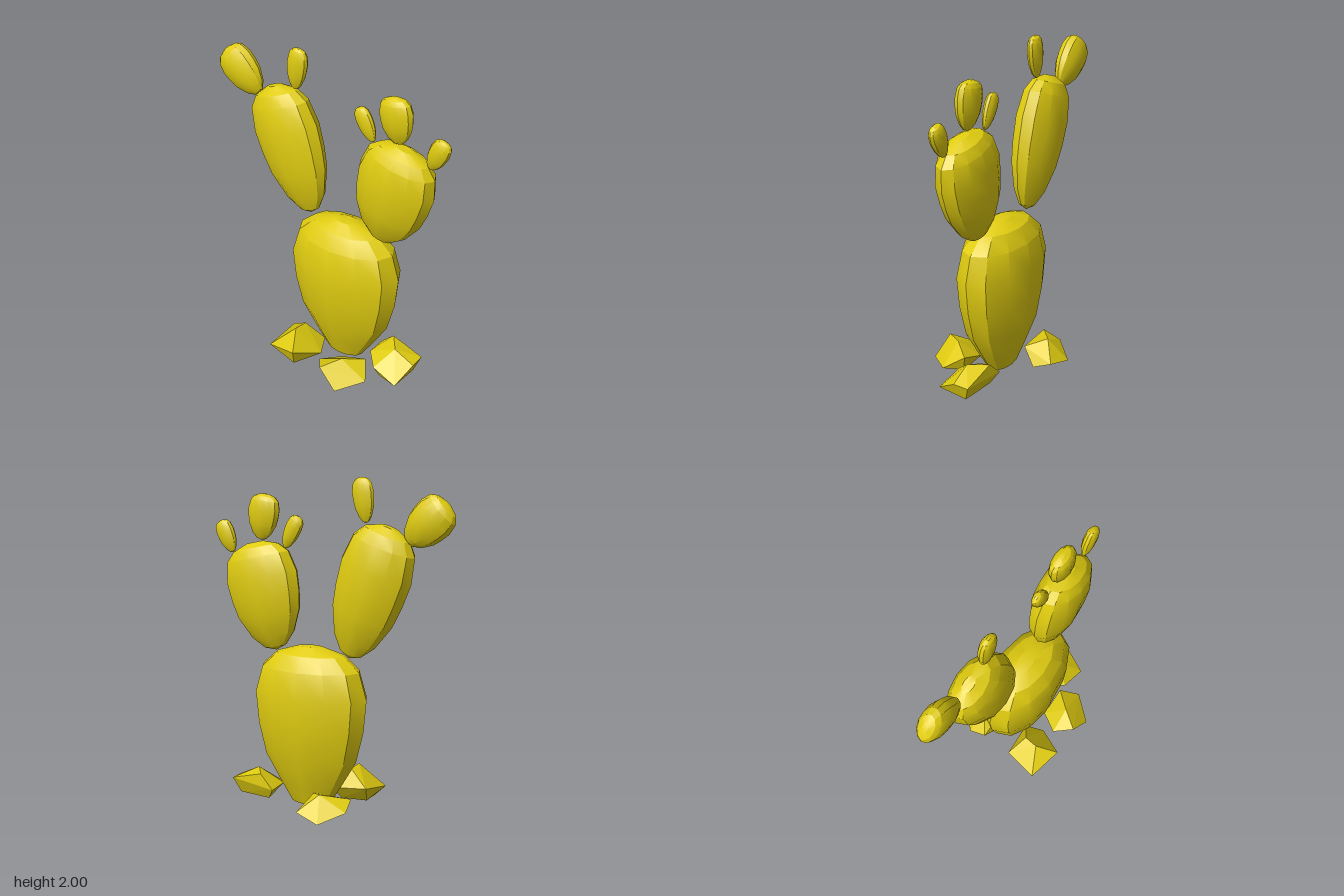
import * as THREE from 'three';
import { toCreasedNormals } from 'three/addons/utils/BufferGeometryUtils.js';
import { ConvexGeometry } from 'three/addons/geometries/ConvexGeometry.js';

// pad outline as [radius, height], both relative
const PAD = [[0, 0], [0.3, 0.035], [0.6, 0.145], [0.87, 0.34], [0.96, 0.5], [1, 0.68], [0.88, 0.865], [0.64, 0.95], [0.23, 1], [0, 1]];
const TRUNK = [[0, 0], [0.34, 0], [0.54, 0.12], [0.82, 0.3], [0.95, 0.5], [1, 0.7], [0.87, 0.865], [0.6, 0.955], [0.22, 1], [0, 1]];

// flattened twelve-sided lathe standing on its lower tip
function padGeometry(profile, halfDepth, halfWidth, height) {
  const points = profile.map(([r, y]) => new THREE.Vector2(r, y));
  const geometry = new THREE.LatheGeometry(points, 12);
  geometry.scale(halfWidth, height, halfDepth);
  return toCreasedNormals(geometry, 0.45);
}

export function createModel() {
  const group = new THREE.Group();
  const material = new THREE.MeshStandardMaterial({ color: 0xe0cc10 });

  function add(name, geometry) {
    const mesh = new THREE.Mesh(geometry, material);
    mesh.name = name;
    group.add(mesh);
    return mesh;
  }

  // trunk, two large pads and five small buds: y, z, tilt, half depth, half width, height
  const pads = [
    ['trunk', 0, 0.12, 0, 0.38, 0.205, 0.985],
    ['frontPad', 0.94, 0.36, 0.22, 0.25, 0.133, 0.67],
    ['backPad', 0.94, -0.14, -0.32, 0.232, 0.13, 0.825],
    ['frontOuterBud', 1.525, 0.665, 0.42, 0.062, 0.036, 0.21],
    ['frontMiddleBud', 1.61, 0.46, -0.12, 0.107, 0.056, 0.28],
    ['frontInnerBud', 1.57, 0.295, -0.47, 0.055, 0.032, 0.215],
    ['backInnerBud', 1.74, -0.25, 0.13, 0.069, 0.037, 0.262],
    ['backOuterBud', 1.64, -0.51, -0.83, 0.128, 0.074, 0.33],
  ];
  for (const [name, y, z, tilt, depth, width, height] of pads) {
    const profile = name === 'trunk' ? TRUNK : PAD;
    const mesh = add(name, padGeometry(profile, depth, width, height));
    mesh.position.set(0.022, y, z);
    mesh.rotation.x = tilt;
  }

  // faceted rocks around the foot, each the hull of a few corners
  const rocks = {
    backRightRock: [
      [-0.30, 0.06, -0.24], [-0.35, 0.13, -0.02], [-0.17, 0.05, 0.07], [-0.06, 0.08, 0.02],
      [-0.08, 0.10, -0.21], [-0.22, 0.21, -0.09], [-0.13, 0.20, -0.08],
      [-0.30, 0, -0.05], [-0.12, 0, -0.02], [-0.15, 0, -0.18], [-0.27, 0, -0.18]],
    backLeftRock: [
      [0.23, 0.05, -0.23], [0.36, 0, -0.11], [0.33, 0.04, 0.05], [0.22, 0, 0.08],
      [0.24, 0.14, -0.06], [0.13, 0.10, 0.04], [0.12, 0.10, -0.21], [0.10, 0, -0.10]],
    frontRightRock: [
      [-0.23, 0.06, 0.10], [-0.34, 0.11, 0.18], [-0.365, 0, 0.31], [-0.21, 0.03, 0.435],
      [-0.10, 0.10, 0.36], [-0.10, 0.03, 0.18], [-0.22, 0.135, 0.26],
      [-0.28, 0, 0.18], [-0.12, 0, 0.34]],
    frontRock: [
      [-0.12, 0.01, 0.59], [-0.10, 0.06, 0.42], [0.02, 0.165, 0.50], [0.13, 0.16, 0.42],
      [0.12, 0.10, 0.635], [0.02, 0.10, 0.635], [0.14, 0.07, 0.33], [0, 0.08, 0.33],
      [0.10, 0, 0.38], [0.08, 0, 0.60], [-0.08, 0, 0.45]],
  };
  for (const [name, corners] of Object.entries(rocks)) {
    add(name, new ConvexGeometry(corners.map((c) => new THREE.Vector3(...c))));
  }

  return group;
}
